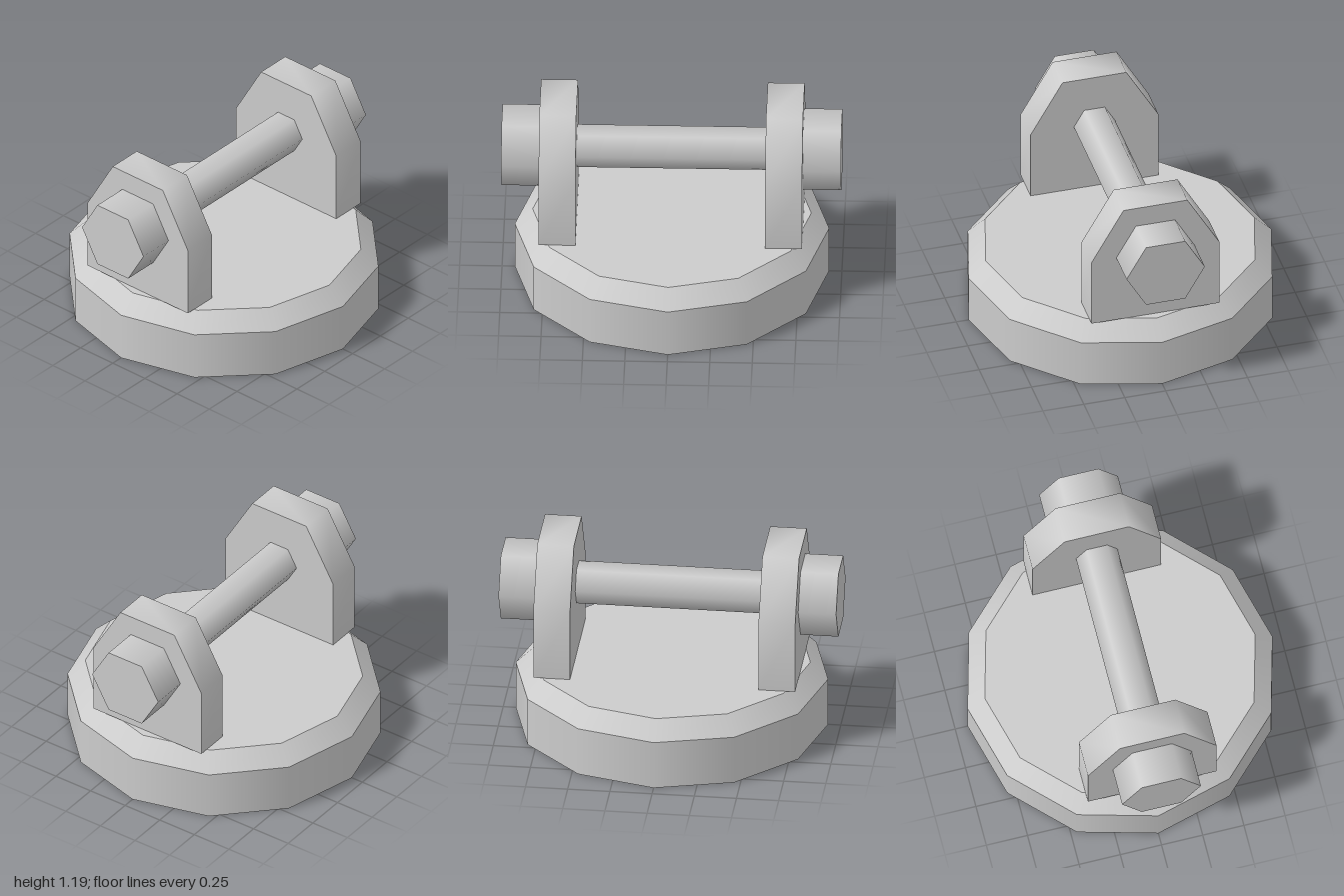
import * as THREE from 'three';
import { toCreasedNormals } from 'three/addons/utils/BufferGeometryUtils.js';

export function createModel() {
  const group = new THREE.Group();
  const grey = new THREE.MeshStandardMaterial({ color: 0xcccccc, side: THREE.DoubleSide });
  grey.name = 'plain grey';

  const add = (name, geometry, x = 0, y = 0) => {
    const mesh = new THREE.Mesh(geometry, grey);
    mesh.name = name;
    mesh.position.set(x, y, 0);
    group.add(mesh);
  };

  // Hollow twelve-sided base, open underneath
  const SIDES = 12, RIM = 0.925, TOP = 0.82, WALL = 0.3, HEIGHT = 0.405;
  add('baseWall', new THREE.CylinderGeometry(RIM, RIM, WALL, SIDES, 1, true), 0, WALL / 2);
  add('baseBevel', new THREE.CylinderGeometry(TOP, RIM, HEIGHT - WALL, SIDES, 1, true), 0, (WALL + HEIGHT) / 2);
  add('baseTop', new THREE.CircleGeometry(TOP, SIDES, Math.PI / 2).rotateX(-Math.PI / 2), 0, HEIGHT);

  // Hexagonal rod between the brackets
  const AXIS = 0.855;
  const hexBar = (radius, length) =>
    new THREE.CylinderGeometry(radius, radius, length, 6).rotateZ(Math.PI / 2);
  add('rod', hexBar(0.126, 1.14), 0, AXIS);

  // Bracket plate: square foot with a half-hexagon top
  const profile = new THREE.Shape([
    [-0.39, 0.408], [0.39, 0.408], [0.39, 0.85], [0.195, 1.19], [-0.195, 1.19], [-0.39, 0.85],
  ].map(([z, y]) => new THREE.Vector2(z, y)));
  const THICK = 0.217;
  const plate = toCreasedNormals(
    new THREE.ExtrudeGeometry(profile, { depth: THICK, bevelEnabled: false })
      .translate(0, 0, -THICK / 2).rotateY(Math.PI / 2),
    THREE.MathUtils.degToRad(65));

  // Bracket and end nut on each side
  for (const [side, label] of [[1, 'left'], [-1, 'right']]) {
    add(label + 'Bracket', plate, side * 0.667, 0);
    add(label + 'Nut', hexBar(0.239, 0.225), side * 0.8875, AXIS);
  }
  return group;
}
